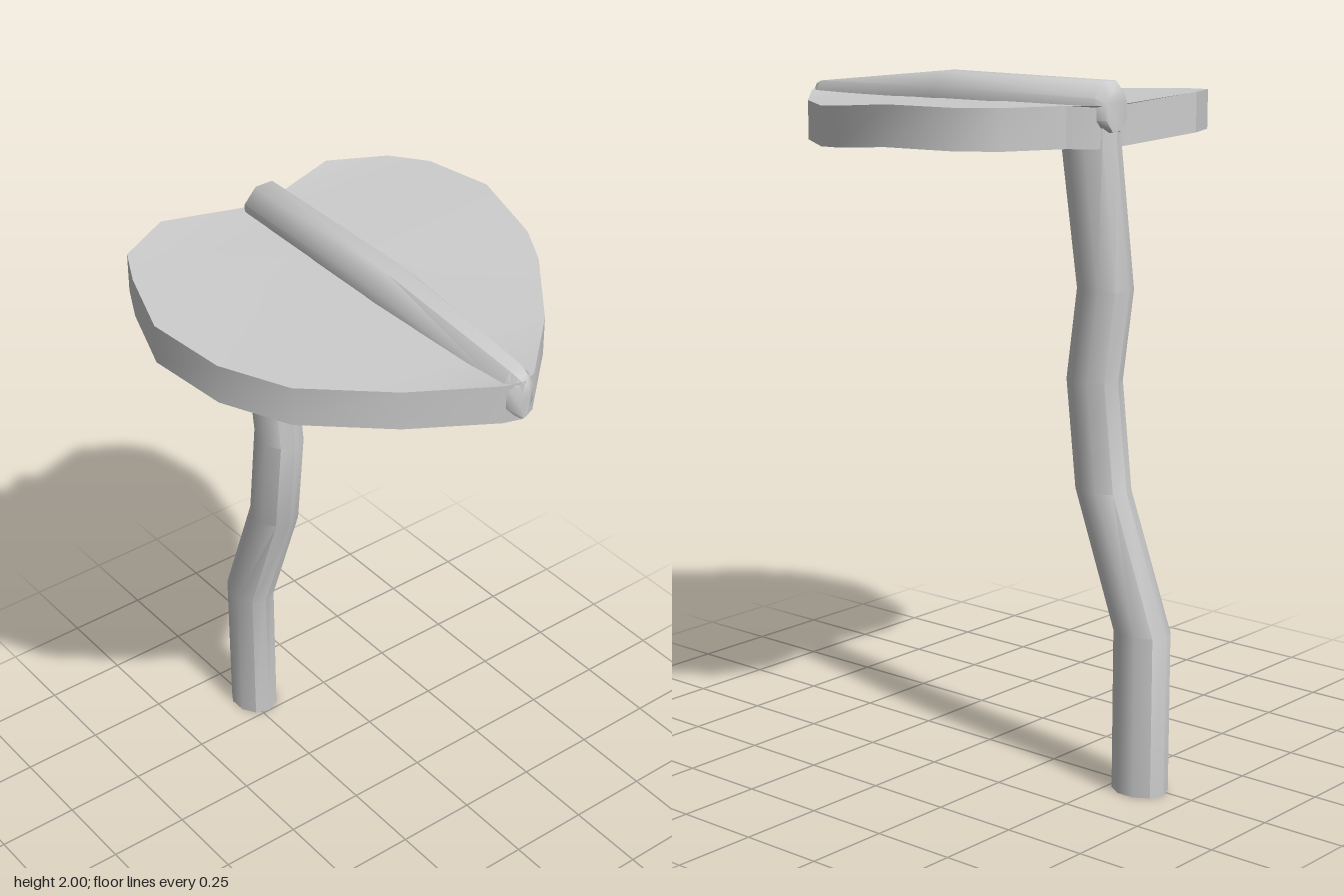
import * as THREE from 'three';
import { toCreasedNormals } from 'three/addons/utils/BufferGeometryUtils.js';

const CX = 0.023; // stem and midrib sit slightly off centre

// Skin a list of closed rings; optional flat caps at both ends
function loft(rings, capped, crease) {
  const pos = [];
  const tri = (a, b, c) => {
    const n = b.clone().sub(a).cross(c.clone().sub(a));
    if (n.length() > 1e-7) for (const p of [a, b, c]) pos.push(p.x, p.y, p.z);
  };
  const n = rings[0].length;
  for (let i = 0; i < rings.length - 1; i++) {
    for (let j = 0; j < n; j++) {
      const k = (j + 1) % n, lo = rings[i], hi = rings[i + 1];
      tri(lo[j], lo[k], hi[k]);
      tri(lo[j], hi[k], hi[j]);
    }
  }
  if (capped) {
    const first = rings[0], last = rings[rings.length - 1];
    for (let j = 1; j < n - 1; j++) {
      tri(first[0], first[j + 1], first[j]);
      tri(last[0], last[j], last[j + 1]);
    }
  }
  const g = new THREE.BufferGeometry();
  g.setAttribute('position', new THREE.Float32BufferAttribute(pos, 3));
  return toCreasedNormals(g, crease);
}

export function createModel() {
  const group = new THREE.Group();
  const material = new THREE.MeshStandardMaterial({ color: 0xcccccc });
  const add = (name, geometry) => {
    const mesh = new THREE.Mesh(geometry, material);
    mesh.name = name;
    group.add(mesh);
  };

  // Crooked stem: [y, z centre, x radius, z radius]
  const stem = [
    [0, -0.585, 0.068, 0.085], [0.47, -0.585, 0.068, 0.085], [0.86, -0.442, 0.068, 0.083],
    [1.17, -0.407, 0.068, 0.083], [1.43, -0.442, 0.068, 0.083], [1.84, -0.386, 0.068, 0.09],
    [1.93, -0.386, 0.066, 0.09], [1.975, -0.39, 0.05, 0.075],
  ];
  add('stem', loft(stem.map(([y, z, rx, rz]) =>
    Array.from({ length: 10 }, (_, i) => {
      const t = (i + 0.5) * Math.PI / 5 - Math.PI / 5 * 1;
      return new THREE.Vector3(CX + Math.cos(t) * rx / Math.cos(Math.PI / 10), y, z - Math.sin(t) * rz);
    })), true, 0.65));

  // Heart-shaped leaf outline: [x, z, underside height]
  const outline = [
    [0.09, -0.455, 1.82], [0.29, -0.515, 1.842], [0.45, -0.43, 1.842], [0.525, -0.33, 1.842],
    [0.565, -0.125, 1.842], [0.51, 0.115, 1.82], [0.45, 0.23, 1.81], [0.275, 0.455, 1.8],
    [0.075, 0.64, 1.805], [0.02, 0.668, 1.815], [-0.025, 0.64, 1.805], [-0.24, 0.495, 1.798],
    [-0.445, 0.305, 1.795], [-0.54, 0.115, 1.802], [-0.57, -0.125, 1.813], [-0.5, -0.33, 1.828],
    [-0.445, -0.44, 1.835], [-0.28, -0.52, 1.842], [-0.045, -0.455, 1.82],
  ].reverse();
  const thickness = 0.113;
  const edge = dy => outline.map(([x, z, y]) => new THREE.Vector3(x, y + dy, z));
  const spine = dy => outline.map(([, z]) => {
    const s = THREE.MathUtils.clamp(z, -0.455, 0.64);
    return new THREE.Vector3(CX, 1.814 - 0.012 * s + dy, s);
  });
  add('leaf', loft([spine(0), edge(0), edge(thickness), spine(thickness)], false, 0.5));

  // Midrib over the leaf, tapering and drooping to the tip: [z, y centre, x radius, y radius]
  const rib = [
    [-0.475, 1.92, 0.045, 0.055], [-0.45, 1.927, 0.068, 0.073], [0.14, 1.927, 0.068, 0.073],
    [0.63, 1.878, 0.05, 0.068], [0.655, 1.874, 0.036, 0.062], [0.67, 1.87, 0.014, 0.05],
  ];
  add('midrib', loft(rib.map(([z, y, rx, ry]) =>
    Array.from({ length: 8 }, (_, i) => {
      const t = (i + 0.5) * Math.PI / 4, s = 1 / Math.cos(Math.PI / 8);
      return new THREE.Vector3(CX + Math.cos(t) * rx * s, y + Math.sin(t) * ry * s, z);
    })), true, 0.85));

  return group;
}
